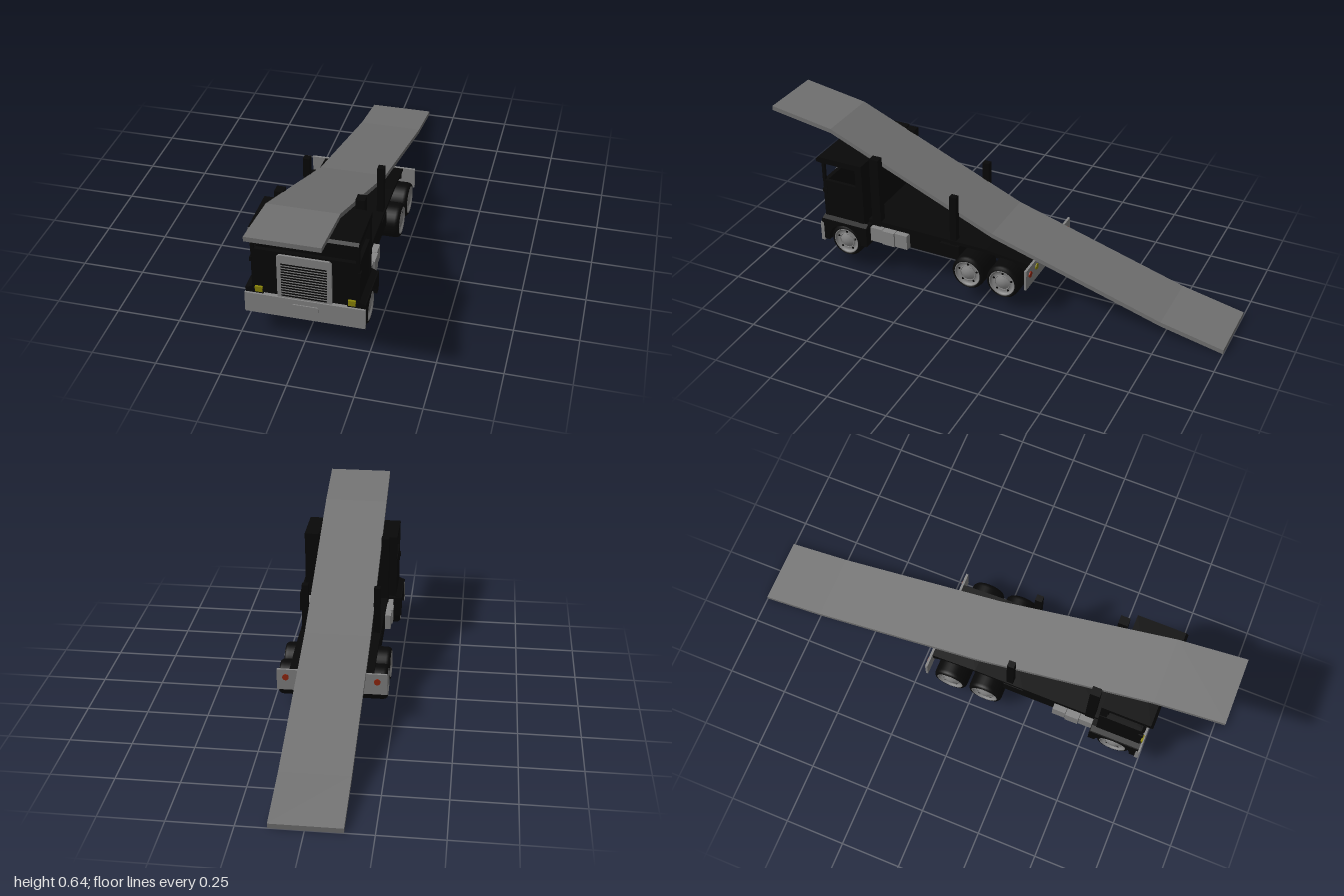
import * as THREE from 'three';

const mat = (color) => new THREE.MeshStandardMaterial({ color, side: THREE.DoubleSide });
const grey = mat(0x878787), rampGrey = mat(0x747474), paleGrey = mat(0xcccccc);
const black = mat(0x080808), yellow = mat(0x8c8608), red = mat(0x982810);

export function createModel() {
  const root = new THREE.Group();

  const add = (name, geometry, material, parent = root) => {
    const mesh = new THREE.Mesh(geometry, material);
    mesh.name = name;
    parent.add(mesh);
    return mesh;
  };
  // Box given by its limits on each axis
  const box = (name, material, x0, x1, y0, y1, z0, z1) =>
    add(name, new THREE.BoxGeometry(x1 - x0, y1 - y0, z1 - z0)
      .translate((x0 + x1) / 2, (y0 + y1) / 2, (z0 + z1) / 2), material);
  const polygon = (points) => new THREE.Shape(points.map(([a, b]) => new THREE.Vector2(a, b)));
  // Side profile (z, y) extruded from x0 to x1
  const sideExtrude = (shape, x0, x1) =>
    new THREE.ExtrudeGeometry(shape, { depth: x1 - x0, bevelEnabled: false, curveSegments: 20 })
      .rotateY(-Math.PI / 2).translate(x1, 0, 0);
  // Rod between two points
  const rod = (name, a, b, r) => add(name, new THREE.TubeGeometry(
    new THREE.LineCurve3(new THREE.Vector3(...a), new THREE.Vector3(...b)), 1, r, 16), paleGrey);

  // Long bent ramp, its front end slightly skewed
  const top = [[1, 0.637], [0.725, 0.588], [-0.01, 0.279], [-0.74, 0.07], [-1, 0.019]];
  const rampShape = polygon([...top, ...top.map(([z, y]) => [z, y - 0.019]).reverse()]);
  const ramp = sideExtrude(rampShape, -0.14, 0.133);
  const p = ramp.attributes.position;
  for (let i = 0; i < p.count; i++) {
    if (p.getZ(i) > 0.74) p.setX(i, p.getX(i) + 0.006);
  }
  add('ramp', ramp, rampGrey);

  // Cab: floor, walls, pillars and roof around open windows
  box('cabFloor', black, -0.2, 0.2, 0.195, 0.21, 0.55, 0.73);
  box('cabFront', black, -0.203, 0.206, 0.19, 0.385, 0.715, 0.732);
  box('cabBack', black, -0.203, 0.206, 0.19, 0.485, 0.545, 0.575);
  box('cabUnderside', black, -0.08, 0.08, 0.12, 0.2, 0.5, 0.73);
  const roof = polygon([[0.545, 0.465], [0.735, 0.465], [0.757, 0.468], [0.759, 0.48],
    [0.748, 0.49], [0.545, 0.49]]);
  add('roof', sideExtrude(roof, -0.204, 0.208), black);
  for (const s of [-1, 1]) {
    const span = (a, b) => (s > 0 ? [a, b] : [-b, -a]);
    box('door', black, ...span(0.19, 0.205), 0.19, 0.385, 0.545, 0.732);
    box('doorHandle', black, ...span(0.2, 0.21), 0.328, 0.346, 0.715, 0.735);
    box('windowPillar', black, ...span(0.192, 0.205), 0.38, 0.47, 0.722, 0.734);

    // Front wing with wheel arch and sloped shoulder
    const wing = new THREE.Shape();
    wing.moveTo(0.738, 0.11);
    wing.lineTo(0.738, 0.207);
    wing.lineTo(0.525, 0.207);
    wing.lineTo(0.525, 0.12);
    wing.lineTo(0.554, 0.12);
    wing.absarc(0.63, 0.12, 0.076, Math.PI, 0, true);
    wing.lineTo(0.706, 0.11);
    add('wing', sideExtrude(wing, ...span(0.16, 0.23)), black);
    const shoulder = polygon([[s * 0.2, 0.205], [s * 0.23, 0.205], [s * 0.203, 0.217]]);
    add('wingShoulder', new THREE.ExtrudeGeometry(shoulder, { depth: 0.21, bevelEnabled: false })
      .translate(0, 0, 0.528), black);

    // Headlight
    box('headlight', yellow, ...span(0.163, 0.192), 0.195, 0.218, 0.725, 0.741);

    // Square upright posts behind the cab and along the bed
    box('frontPost', black, ...span(0.138, 0.173), 0.2, s > 0 ? 0.515 : 0.503, 0.485, 0.525);
    box('rearPost', black, ...span(0.138, 0.165), 0.2, 0.425, 0.136, 0.165);

    // Side storage boxes
    for (let i = 0; i < 3; i++) {
      const z = 0.352 + i * 0.058;
      box('storageBox', grey, ...span(0.1, i === 1 ? 0.2 : 0.195), 0.135, 0.2, z, z + 0.056);
    }

    // Tail bracket
    const bracket = polygon([[-0.1, 0.205], [-0.2, 0.203], [-0.2, 0.15]]);
    add('tailBracket', sideExtrude(bracket, ...span(0.15, 0.165)), black);

    // Tail lights
    [[0.185, red], [0.122, yellow]].forEach(([x, m]) => {
      add('tailLight', new THREE.CylinderGeometry(0.013, 0.013, 0.005, 20).rotateX(Math.PI / 2), m)
        .position.set(s * x, 0.172, -0.205);
    });
  }

  // Grille with chamfered top corners and horizontal slots
  const grille = polygon([[-0.105, 0.185], [0.103, 0.185], [0.103, 0.37], [0.094, 0.378],
    [-0.096, 0.378], [-0.105, 0.37]]);
  add('grille', new THREE.ExtrudeGeometry(grille, { depth: 0.011, bevelEnabled: false })
    .translate(0, 0, 0.73), grey);
  for (let i = 0; i < 13; i++) {
    const y = 0.195 + i * 0.0118;
    box('grilleSlot', black, -0.089, 0.085, y, y + 0.0055, 0.735, 0.7425);
  }

  // Bumper and blank plate
  box('bumper', grey, -0.232, 0.23, 0.101, 0.188, 0.73, 0.746);
  box('plate', grey, -0.045, 0.052, 0.144, 0.167, 0.744, 0.75);

  // Chassis and bed
  box('chassis', black, -0.09, 0.09, 0.135, 0.196, -0.19, 0.55);
  box('bedFront', black, -0.17, 0.17, 0.195, 0.222, 0.21, 0.548);
  for (const s of [-1, 1]) {
    box('sideSkirt', black, s > 0 ? 0.09 : -0.17, s > 0 ? 0.17 : -0.09, 0.135, 0.197, 0.125, 0.35);
  }
  const bed = polygon([[0.21, 0.208], [0.21, 0.222], [0, 0.222], [-0.2, 0.203], [-0.2, 0.193],
    [0, 0.208]]);
  add('bedRear', sideExtrude(bed, -0.17, 0.17), black);
  box('tailPanel', grey, -0.225, 0.221, 0.115, 0.205, -0.203, -0.193);

  // Drive shaft and axles
  rod('driveShaft', [0, 0.114, 0.63], [0, 0.114, -0.1], 0.015);
  const axles = [0.63, 0.06, -0.095];
  axles.forEach((z) => rod('axle', [-0.1, 0.116, z], [0.1, 0.116, z], 0.015));

  // Wheels: wide tyre, dished grey rim, ring and small holes
  const lathe = (pts, segments) => new THREE.LatheGeometry(
    pts.map(([r, y]) => new THREE.Vector2(r, y)), segments).rotateZ(-Math.PI / 2);
  const tyreGeo = lathe([[0.02, -0.068], [0.064, -0.068], [0.07, -0.061], [0.072, -0.05],
    [0.072, 0.05], [0.07, 0.061], [0.064, 0.068], [0.055, 0.068], [0.053, 0.055]], 36);
  const rimGeo = lathe([[0.058, 0.067], [0.055, 0.07], [0.051, 0.066], [0.046, 0.058],
    [0.03, 0.06], [0.026, 0.066], [0.016, 0.066], [0.013, 0.07], [0, 0.07]], 36);
  const ringGeo = new THREE.TorusGeometry(0.033, 0.002, 8, 36)
    .rotateY(Math.PI / 2).translate(0.061, 0, 0);
  const holeGeo = new THREE.CylinderGeometry(0.0045, 0.0045, 0.003, 12).rotateZ(Math.PI / 2);
  for (const z of axles) {
    for (const s of [-1, 1]) {
      const wheel = new THREE.Group();
      wheel.name = 'wheel';
      add('tyre', tyreGeo, black, wheel);
      add('rim', rimGeo, grey, wheel);
      add('rimRing', ringGeo, grey, wheel);
      for (let i = 0; i < 5; i++) {
        const a = (i / 5) * Math.PI * 2;
        add('rimHole', holeGeo, black, wheel)
          .position.set(0.0595, 0.041 * Math.cos(a), 0.041 * Math.sin(a));
      }
      wheel.position.set(s * 0.153, 0.118, z);
      if (s < 0) wheel.rotation.y = Math.PI;
      root.add(wheel);
    }
  }
  return root;
}
